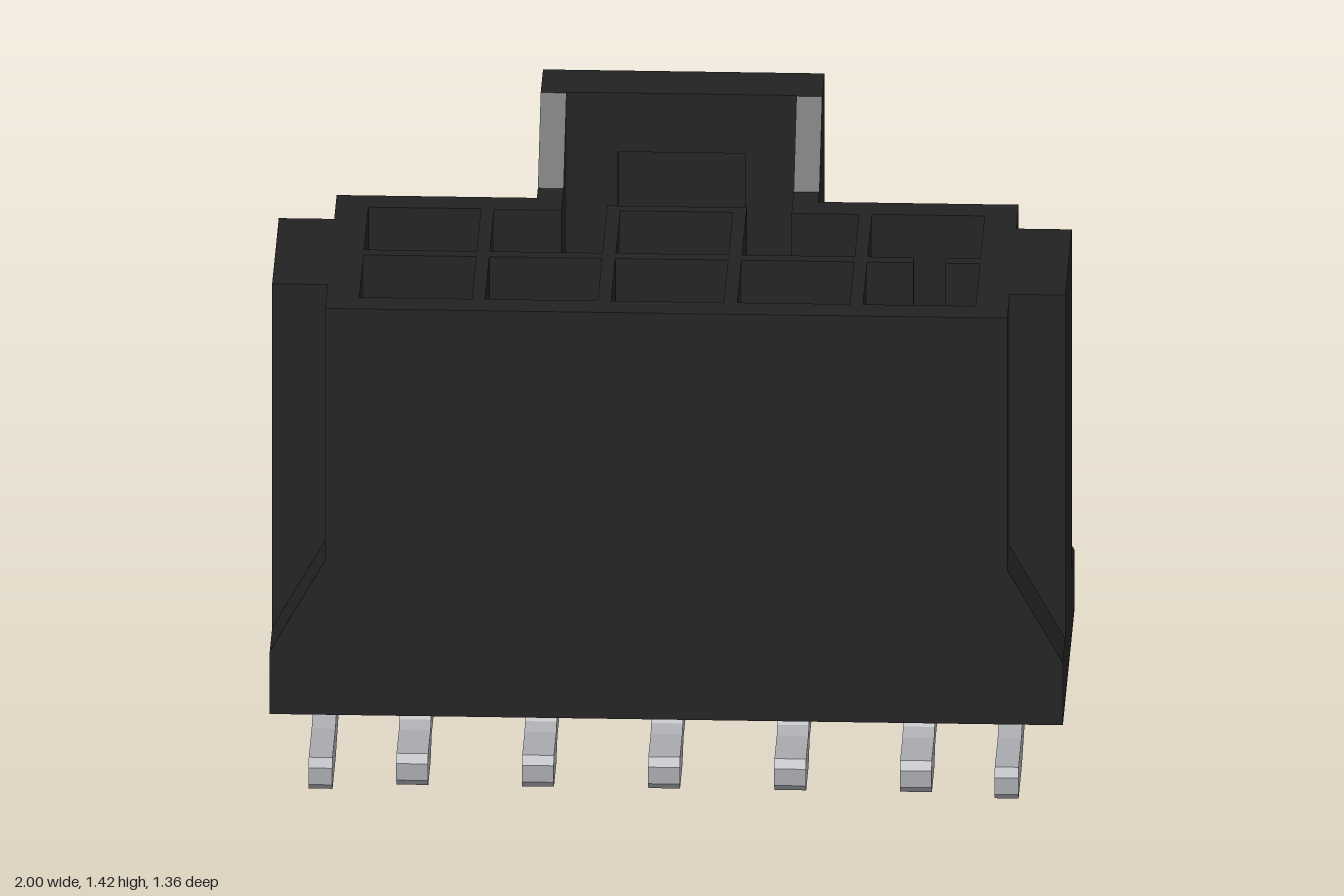
import * as THREE from 'three';

const housingMat = new THREE.MeshStandardMaterial({ color: 0x222222 });
housingMat.name = 'black plastic';
const metalMat = new THREE.MeshStandardMaterial({ color: 0xa8a9ad });
metalMat.name = 'tin metal';

const BASE = 0.13, FLOOR = 0.3, TOP = 1.235;
const COLUMNS = [-0.635, -0.318, 0, 0.318, 0.635];
const ROWS = [-0.06, 0.26];
const HALF = 0.142; // half width of a socket

const toPoints = (list) => list.map(([a, b]) => new THREE.Vector2(a, b));

// Extrude a plan outline of [x, z] points upward from y0 to y1
function planGeometry(outline, holes, y0, y1) {
  const flip = (list) => toPoints(list.map(([x, z]) => [x, -z]));
  const shape = new THREE.Shape(flip(outline));
  holes.forEach((h) => shape.holes.push(new THREE.Path(flip(h))));
  const geo = new THREE.ExtrudeGeometry(shape, { depth: y1 - y0, bevelEnabled: false });
  return geo.rotateX(-Math.PI / 2).translate(0, y0, 0);
}

// Extrude a side profile of [z, y] points across x, centred on x
function sideGeometry(profile, width, x) {
  const geo = new THREE.ExtrudeGeometry(new THREE.Shape(toPoints(profile)), { depth: width, bevelEnabled: false });
  return geo.rotateY(-Math.PI / 2).translate(x + width / 2, 0, 0);
}

function boxGeometry(x0, x1, y0, y1, z0, z1) {
  return new THREE.BoxGeometry(x1 - x0, y1 - y0, z1 - z0)
    .translate((x0 + x1) / 2, (y0 + y1) / 2, (z0 + z1) / 2);
}

function createHousing(add) {
  add('housingBase', boxGeometry(-1, 1, BASE, FLOOR, -0.28, 0.48), housingMat);

  // Right half of the outline, front to back: corner notches, then the latch
  // slot that opens into the neighbouring rear socket
  const half = [
    [0.86, 0.48], [0.86, 0.32], [1, 0.32], [1, -0.12], [0.86, -0.12], [0.86, -0.28],
    [0.29, -0.28], [0.29, -0.2], [0.46, -0.2], [0.46, 0.082], [0.176, 0.082], [0.176, -0.235],
  ];
  const outline = [...half, ...half.map(([x, z]) => [-x, z]).reverse()];

  // Square sockets, leaving out those shaped separately
  const holes = [];
  COLUMNS.forEach((x, i) => ROWS.forEach((z, row) => {
    const openToLatch = row === 0 && (i === 1 || i === 3);
    if (openToLatch || i === 4) return;
    holes.push([[x - HALF, z - HALF], [x + HALF, z - HALF], [x + HALF, z + HALF], [x - HALF, z + HALF]]);
  }));
  // Last column: two sockets joined by a narrow keying gap
  const [a, b] = [0.635 - HALF, 0.635 + HALF];
  holes.push([
    [a, ROWS[0] - HALF], [b, ROWS[0] - HALF], [b, ROWS[0] + HALF], [0.69, ROWS[0] + HALF],
    [0.69, ROWS[1] - HALF], [b, ROWS[1] - HALF], [b, ROWS[1] + HALF], [a, ROWS[1] + HALF],
    [a, ROWS[1] - HALF], [0.61, ROWS[1] - HALF], [0.61, ROWS[0] + HALF], [a, ROWS[0] + HALF],
  ]);
  add('socketWalls', planGeometry(outline, holes, FLOOR, TOP), housingMat);

  // Sloped feet below the corner notches
  for (const s of [-1, 1]) {
    for (const z of [-0.28, 0.32]) {
      const shape = new THREE.Shape(toPoints([[s * 0.86, FLOOR], [s, FLOOR], [s * 0.86, 0.55]]));
      const geo = new THREE.ExtrudeGeometry(shape, { depth: 0.16, bevelEnabled: false });
      add('cornerSlope', geo.translate(0, 0, z), housingMat);
    }
  }
}

function createLatch(add) {
  const arm = [[-0.28, 0.36], [-0.28, TOP], [-0.345, TOP], [-0.53, 1.42], [-0.685, 1.42], [-0.685, 0.36]];
  for (const s of [-1, 1]) {
    add('latchArm', sideGeometry(arm, 0.065, s * 0.3225), housingMat);
    const [x0, x1] = s < 0 ? [-0.29, -0.16] : [0.16, 0.29];
    add('latchBackSide', boxGeometry(x0, x1, 0.36, 1.42, -0.685, -0.535), housingMat);
  }
  // Thin wall behind the recess and the bridge above it
  add('latchRecessWall', boxGeometry(-0.16, 0.16, 0.36, 1.26, -0.685, -0.61), housingMat);
  add('latchBridge', boxGeometry(-0.16, 0.16, 1.26, 1.42, -0.685, -0.535), housingMat);
}

function createPins(add) {
  // Contact pins standing in the sockets, with tapered tips
  for (const x of COLUMNS) {
    for (const z of ROWS) {
      add('contactPin', boxGeometry(x - 0.04, x + 0.04, FLOOR, 0.9, z - 0.04, z + 0.04), metalMat);
      const tip = new THREE.CylinderGeometry(0.02 * Math.SQRT2, 0.04 * Math.SQRT2, 0.06, 4)
        .rotateY(Math.PI / 4).toNonIndexed();
      tip.computeVertexNormals();
      add('contactTip', tip.translate(x, 0.93, z), metalMat);
    }
  }

  // Solder leads: profiles are symmetric about z = 0.1
  const mirror = (list) => [...list, ...list.map(([d, y]) => [-d, y]).reverse()]
    .map(([d, y]) => [0.1 + d, y]);
  const signal = mirror([
    [0.29, 0.045], [0.36, 0], [0.52, 0], [0.54, 0.02], [0.54, 0.065], [0.52, 0.085],
    [0.365, 0.085], [0.33, 0.1], [0.3, 0.129],
  ]);
  const anchor = mirror([
    [0.05, 0.04], [0.06, 0.058], [0.34, 0], [0.555, 0], [0.578, 0.02], [0.578, 0.065], [0.555, 0.085],
    [0.36, 0.085], [0.18, 0.129],
  ]);
  COLUMNS.forEach((x) => add('signalLead', sideGeometry(signal, 0.08, x), metalMat));
  [-0.865, 0.865].forEach((x) => add('anchorLead', sideGeometry(anchor, 0.06, x), metalMat));
}

export function createModel() {
  const model = new THREE.Group();
  model.name = 'pinHeaderConnector';
  const add = (name, geometry, material) => {
    const mesh = new THREE.Mesh(geometry, material);
    mesh.name = name;
    model.add(mesh);
  };
  createHousing(add);
  createLatch(add);
  createPins(add);
  return model;
}
